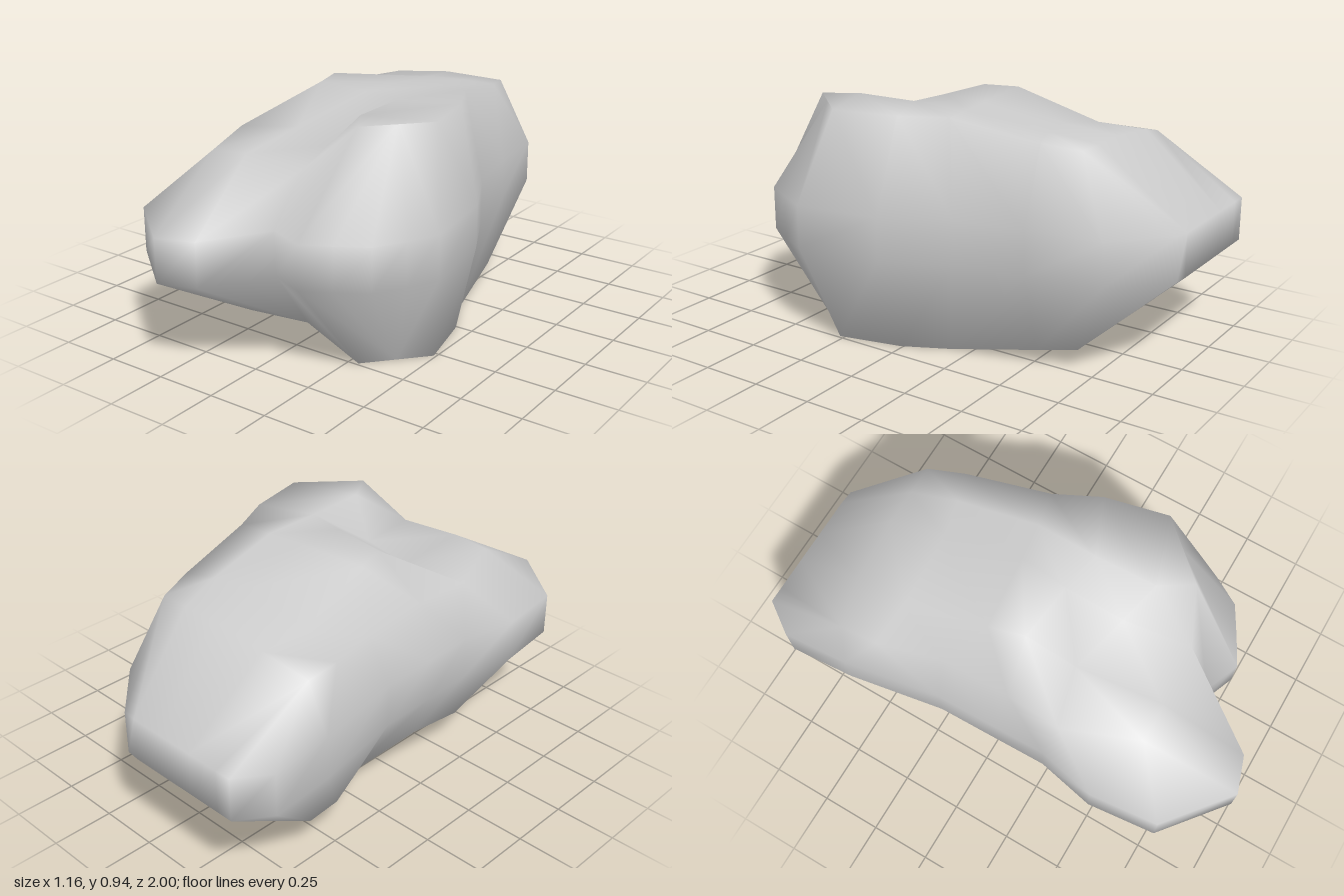
import * as THREE from 'three';

const MID = 0.4715; // mirror plane height
const RIM = 0.56;   // upper edge of the belt around the sides

// Outline of the belt as x, z pairs
const back = [[-0.49, -1], [-0.42, -1], [-0.28, -1], [-0.14, -1], [-0.04, -1], [0.02, -1], [0.08, -0.995]];
const rightEdge = [[-0.58, -0.87], [-0.56, -0.6], [-0.49, -0.2], [-0.485, 0.05], [-0.48, 0.27], [-0.53, 0.51]];
const leftEdge = [[0.3, -0.8], [0.34, -0.5], [0.4, -0.22], [0.53, 0.04], [0.58, 0.39], [0.52, 0.51]];
const front = [[-0.5, 0.79], [-0.24, 1], [-0.09, 0.95], [0.07, 0.7], [0.22, 0.76], [0.33, 0.7], [0.45, 0.63]];

// Inner cross-sections from back to front as x, y, z
const inner = [
  [[-0.49, 0.78, -0.62], [-0.3, 0.83, -0.66], [-0.05, 0.86, -0.67], [0.1, 0.86, -0.67], [0.22, 0.86, -0.67]],
  [[-0.48, 0.78, -0.47], [-0.3, 0.83, -0.45], [0, 0.89, -0.45], [0.15, 0.89, -0.48], [0.27, 0.88, -0.52]],
  [[-0.4, 0.75, -0.22], [-0.25, 0.94, -0.1], [0.05, 0.94, -0.13], [0.2, 0.94, -0.15], [0.34, 0.94, -0.17]],
  [[-0.4, 0.77, 0.07], [-0.21, 0.94, 0.04], [0.03, 0.94, 0.07], [0.2, 0.94, 0.1], [0.43, 0.94, 0.01]],
  [[-0.42, 0.78, 0.3], [-0.18, 0.8, 0.24], [0.08, 0.79, 0.3], [0.21, 0.94, 0.36], [0.49, 0.94, 0.27]],
  [[-0.3, 0.78, 0.6], [-0.14, 0.79, 0.6], [0.12, 0.78, 0.58], [0.29, 0.94, 0.49], [0.39, 0.94, 0.38]],
];

function createBodyGeometry() {
  const rim = ([x, z]) => [x, RIM, z];
  const rows = [
    back.map(rim),
    ...inner.map((row, i) => [rim(rightEdge[i]), ...row, rim(leftEdge[i])]),
    front.map(rim),
  ];
  const R = rows.length, C = rows[0].length, N = R * C;
  const top = rows.flat();
  const points = [...top, ...top.map(([x, y, z]) => [x, 2 * MID - y, z])];
  const index = [];

  // Upper skin and its mirrored underside; two corners split the other way to stay sloped
  for (let r = 0; r < R - 1; r++) {
    for (let c = 0; c < C - 1; c++) {
      const a = r * C + c, b = a + 1, d = a + C, e = d + 1;
      const corner = (r === 0 && c === 0) || (r === R - 2 && c === C - 2);
      const faces = corner ? [[a, d, e], [a, e, b]] : [[a, d, b], [b, d, e]];
      for (const [p, q, s] of faces) {
        index.push(p, q, s, p + N, s + N, q + N);
      }
    }
  }

  // Belt joining both skins around the perimeter
  const loop = [];
  for (let c = 0; c < C; c++) loop.push(c);
  for (let r = 1; r < R; r++) loop.push(r * C + C - 1);
  for (let c = C - 2; c >= 0; c--) loop.push((R - 1) * C + c);
  for (let r = R - 2; r > 0; r--) loop.push(r * C);
  loop.forEach((a, i) => {
    const b = loop[(i + 1) % loop.length];
    index.push(a, b, b + N, a, b + N, a + N);
  });

  const geometry = new THREE.BufferGeometry();
  geometry.setAttribute('position', new THREE.Float32BufferAttribute(points.flat(), 3));
  geometry.setIndex(index);
  geometry.computeVertexNormals();
  return geometry;
}

export function createModel() {
  const group = new THREE.Group();
  group.name = 'lobedRock';
  const body = new THREE.Mesh(createBodyGeometry(), new THREE.MeshStandardMaterial({ color: 0xcccccc }));
  body.name = 'rockBody';
  group.add(body);
  return group;
}
